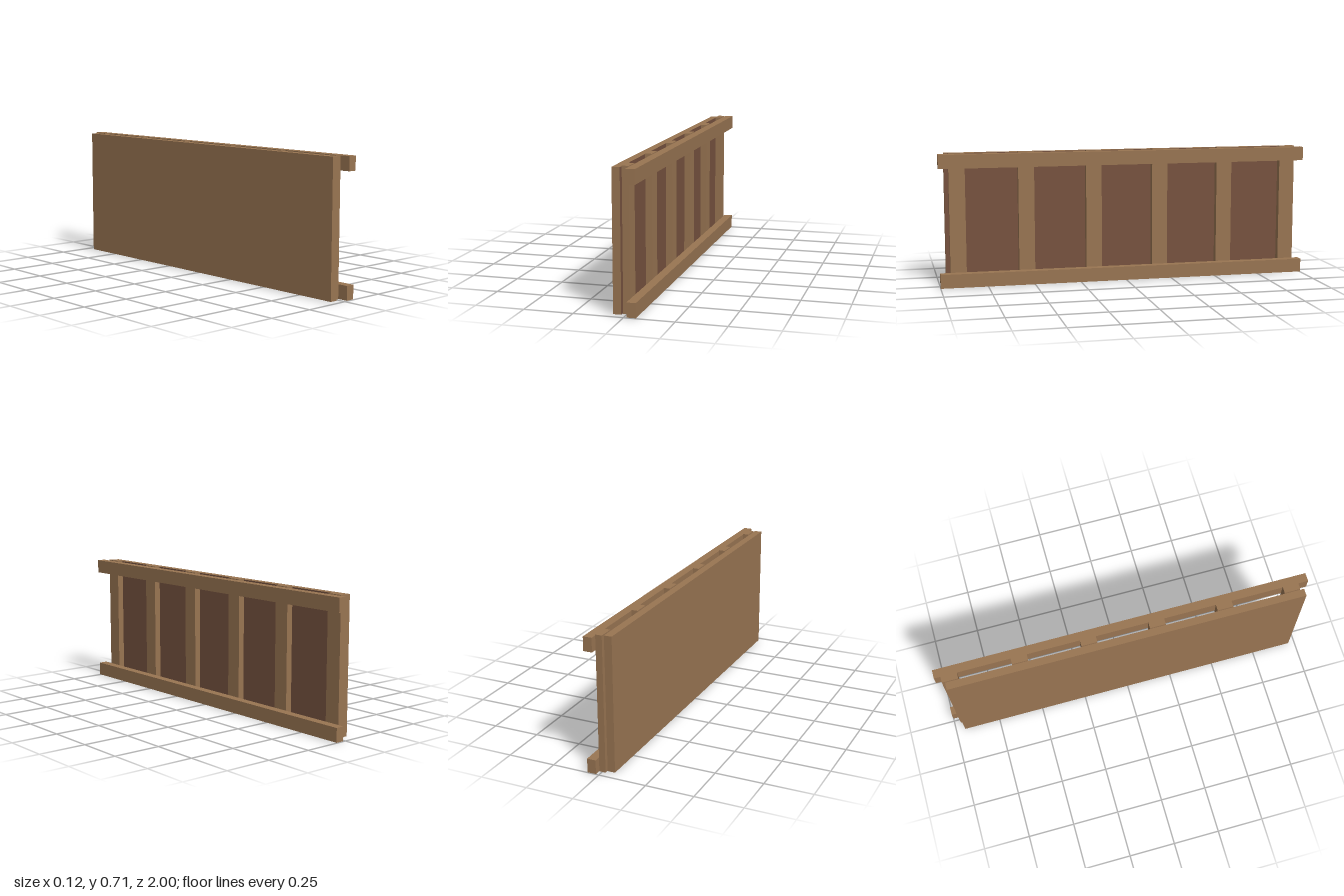
import * as THREE from 'three';

export function createModel() {
  const group = new THREE.Group();
  const tan = new THREE.MeshStandardMaterial({ color: 0x997552 });
  tan.name = 'tanWood';
  const redBrown = new THREE.MeshStandardMaterial({ color: 0x775340 });
  redBrown.name = 'redBrownWood';

  // Box given by its lower and upper corners
  function board(name, [x0, y0, z0], [x1, y1, z1], material = tan) {
    const mesh = new THREE.Mesh(new THREE.BoxGeometry(x1 - x0, y1 - y0, z1 - z0), material);
    mesh.position.set((x0 + x1) / 2, (y0 + y1) / 2, (z0 + z1) / 2);
    mesh.name = name;
    group.add(mesh);
  }

  // Backing panel, red-brown only on its inner (+x) face
  board('panel', [-0.062, 0.004, -0.95], [-0.022, 0.706, 0.965],
    [redBrown, tan, tan, tan, tan, tan]);

  // Six upright battens, evenly spaced
  for (let i = 0; i < 6; i++) {
    const z = -0.923 + i * 0.365;
    board('batten' + (i + 1), [-0.019, 0.002, z - 0.0425], [0.015, 0.71, z + 0.0425]);
  }

  // Long rails across the battens
  board('lowerRail', [0.015, 0.004, -1], [0.061, 0.077, 1]);
  board('upperRail', [0.015, 0.633, -1], [0.061, 0.706, 1]);

  return group;
}
